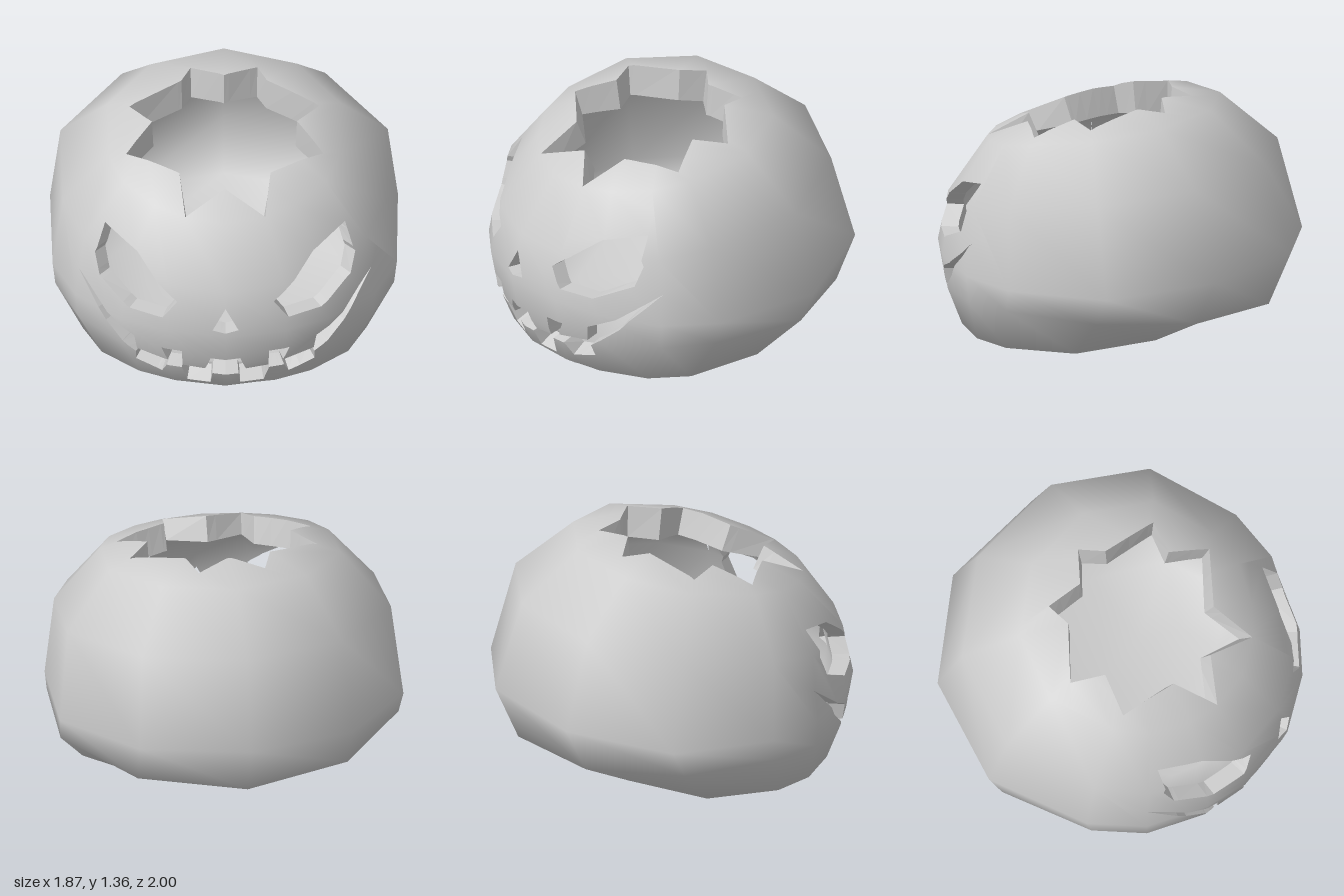
import * as THREE from 'three';
import { mergeVertices } from 'three/addons/utils/BufferGeometryUtils.js';

const V2 = (x, y) => new THREE.Vector2(x, y);

// Rings from top to bottom: front z, back z, half width, y at front, side and back
const RINGS = [
  [0, 0, 0, 1.345, 1.345, 1.345],
  [0.42, -0.26, 0.36, 1.24, 1.32, 1.36],
  [0.73, -0.53, 0.63, 1.09, 1.23, 1.32],
  [0.94, -0.85, 0.88, 0.78, 0.94, 1.06],
  [1.0, -1.0, 0.935, 0.53, 0.47, 0.58],
  [0.955, -0.87, 0.92, 0.3, 0.35, 0.28],
  [0.87, -0.55, 0.77, 0.11, 0.1, 0.17],
  [0.73, -0.1, 0.45, 0.0, 0.02, 0.02],
  [0.35, 0.35, 0, 0, 0, 0],
];
// Half outline of a ring, from the front to the back
const HALF = [[0, 1], [0.35, 0.93], [0.6, 0.8], [0.86, 0.55], [0.99, 0.25], [1, -0.33], [0.62, -0.81], [0, -1]];
const OUTLINE = [...HALF, ...HALF.slice(1, -1).reverse().map(([x, z]) => [-x, z])];

// Carved openings
const EYE = [[0.645, 0.96], [0.475, 0.905], [0.365, 0.79], [0.26, 0.7], [0.34, 0.595], [0.515, 0.59], [0.675, 0.69], [0.7, 0.81]];
const NOSE = [[0, 0.69], [-0.07, 0.56], [0, 0.55], [0.07, 0.56]];
const MOUTH_HALF = [
  [0.07, 0.215], [0.08, 0.125], [0.205, 0.13], [0.235, 0.24], [0.315, 0.245], [0.34, 0.17], [0.48, 0.215],
  [0.48, 0.285], [0.55, 0.34], [0.64, 0.43], [0.79, 0.66], [0.63, 0.49], [0.49, 0.41], [0.475, 0.32],
  [0.31, 0.3], [0.345, 0.385], [0.235, 0.38], [0.23, 0.265], [0.11, 0.255], [0.08, 0.35],
];
const LID_HALF = [[0, -0.24], [0.18, -0.34], [0.23, -0.2], [0.51, -0.05], [0.39, 0.1], [0.53, 0.275], [0.245, 0.44], [0.215, 0.685], [0, 0.54]];
const mirror = (pts) => pts.map(([x, y]) => [-x, y]).reverse();

// A cutter is a polygon, split into triangles, pushed through the shell along one axis
function makeCutter(points, project, applies) {
  const pts = points.map(([a, b]) => V2(a, b));
  if (THREE.ShapeUtils.area(pts) < 0) pts.reverse();
  const tris = THREE.ShapeUtils.triangulateShape(pts, []).map((t) => {
    const tri = t.map((i) => pts[i]);
    return THREE.ShapeUtils.area(tri) < 0 ? tri.reverse() : tri;
  });
  return { pts, tris, project, applies };
}

const side = (a, b, p) => ((b.x - a.x) * (p.y - a.y) - (b.y - a.y) * (p.x - a.x)) / a.distanceTo(b);

// Split a convex polygon by the line a-b into its left and right parts
function split(poly, a, b, project) {
  const left = [], right = [];
  poly.forEach((v, i) => {
    const w = poly[(i + 1) % poly.length];
    const dv = side(a, b, project(v.p)), dw = side(a, b, project(w.p));
    if (dv >= -1e-7) left.push(v);
    if (dv <= 1e-7) right.push(v);
    if ((dv > 1e-7 && dw < -1e-7) || (dv < -1e-7 && dw > 1e-7)) {
      const t = dv / (dv - dw);
      const m = { p: v.p.clone().lerp(w.p, t), n: v.n.clone().lerp(w.n, t).normalize() };
      left.push(m);
      right.push(m);
    }
  });
  const solid = (q) => q.length > 2 && Math.abs(THREE.ShapeUtils.area(q.map((v) => project(v.p)))) > 1e-8;
  return [solid(left) ? left : null, solid(right) ? right : null];
}

// Remove a cutter from the polygons; returns what is kept and the rim edges
function carve(polys, cutter, rims) {
  const { pts, tris, project, applies } = cutter;
  const kept = [];
  for (const poly of polys) {
    if (!applies(poly)) { kept.push(poly); continue; }
    let work = [poly];
    for (const tri of tris) {
      const next = [];
      for (const piece of work) {
        let inside = piece;
        const outside = [];
        for (let k = 0; k < 3 && inside; k++) {
          const [l, r] = split(inside, tri[k], tri[(k + 1) % 3], project);
          if (r) outside.push(r);
          inside = l;
        }
        if (!inside) { next.push(piece); continue; }
        next.push(...outside);
        inside.forEach((v, i) => {
          const w = inside[(i + 1) % inside.length];
          const pv = project(v.p), pw = project(w.p);
          const onRim = pts.some((a, j) => {
            const b = pts[(j + 1) % pts.length], len = a.distanceTo(b);
            const on = (q) => Math.abs(side(a, b, q)) < 1e-5 && q.distanceTo(a) + q.distanceTo(b) < len + 1e-4;
            return on(pv) && on(pw);
          });
          if (onRim && v.p.distanceTo(w.p) > 1e-5) rims.push([v.p, w.p]);
        });
      }
      work = next;
    }
    kept.push(...work);
  }
  return kept;
}

// Point on the hollow's surface that lies behind an outer point
function inward(p) {
  const top = THREE.MathUtils.clamp((p.y - 0.9) / 0.4, 0, 1);
  const low = THREE.MathUtils.clamp((0.3 - p.y) / 0.3, 0, 1);
  return new THREE.Vector3(p.x * (0.92 + 0.06 * top), p.y - 0.18 * top + 0.1 * low, p.z * 0.9 - 0.01 * top);
}

function buildGeometry(polys, withNormals) {
  const pos = [], nor = [];
  for (const poly of polys) {
    for (let i = 1; i < poly.length - 1; i++) {
      for (const v of [poly[0], poly[i], poly[i + 1]]) {
        pos.push(v.p.x, v.p.y, v.p.z);
        if (withNormals) nor.push(v.n.x, v.n.y, v.n.z);
      }
    }
  }
  const g = new THREE.BufferGeometry();
  g.setAttribute('position', new THREE.Float32BufferAttribute(pos, 3));
  if (withNormals) g.setAttribute('normal', new THREE.Float32BufferAttribute(nor, 3));
  else g.computeVertexNormals();
  return g;
}

// Uncut body as a list of triangles with smooth normals
function bodyTriangles() {
  const pos = [], index = [], n = OUTLINE.length;
  for (const [zf, zb, w, yf, ys, yb] of RINGS) {
    for (const [x, c] of OUTLINE) {
      const y = ys + ((yf - yb) / 2) * c + ((yf + yb) / 2 - ys) * c * c;
      pos.push(x * w, y, (zf + zb) / 2 + ((zf - zb) / 2) * c);
    }
  }
  for (let i = 0; i < RINGS.length - 1; i++) {
    for (let j = 0; j < n; j++) {
      const a = i * n + j, d = i * n + ((j + 1) % n), b = a + n, c = d + n;
      if (i < RINGS.length - 2) index.push(a, b, c);
      if (i > 0) index.push(a, c, d);
    }
  }
  let g = new THREE.BufferGeometry();
  g.setAttribute('position', new THREE.Float32BufferAttribute(pos, 3));
  g.setIndex(index);
  g = mergeVertices(g, 1e-4);
  g.computeVertexNormals();
  const P = g.attributes.position, N = g.attributes.normal, ids = g.index.array, tris = [];
  const vertex = (i) => ({ p: new THREE.Vector3().fromBufferAttribute(P, i), n: new THREE.Vector3().fromBufferAttribute(N, i) });
  for (let i = 0; i < ids.length; i += 3) tris.push([vertex(ids[i]), vertex(ids[i + 1]), vertex(ids[i + 2])]);
  return tris;
}

export function createModel() {
  const group = new THREE.Group();
  group.name = 'carvedPumpkin';
  const grey = new THREE.MeshStandardMaterial({ color: 0xcccccc });
  grey.name = 'plain grey';

  const fromFront = (p) => V2(p.x, p.y), fromTop = (p) => V2(p.x, -p.z);
  const mean = (poly, k) => poly.reduce((s, v) => s + v.p[k], 0) / poly.length;
  const onFront = (poly) => mean(poly, 'z') > 0.15, onTop = (poly) => mean(poly, 'y') > 0.9;
  const lid = [...LID_HALF, ...mirror(LID_HALF.slice(1, -1))].map(([x, z]) => [x, -z]);
  const cutters = [
    ...[EYE, mirror(EYE), NOSE, [...MOUTH_HALF, ...mirror(MOUTH_HALF)]].map((s) => makeCutter(s, fromFront, onFront)),
    makeCutter(lid, fromTop, onTop),
  ];

  const rims = [];
  let skin = bodyTriangles();
  for (const cutter of cutters) skin = carve(skin, cutter, rims);

  // Hollow inside and the walls joining it to the skin
  const hollow = skin.map((poly) => poly.map((v) => ({ p: inward(v.p), n: v.n.clone().negate() })).reverse());
  const walls = rims.map(([a, b]) => [a, b, inward(b), inward(a)].map((p) => ({ p })));

  const add = (name, geometry) => {
    const mesh = new THREE.Mesh(geometry, grey);
    mesh.name = name;
    group.add(mesh);
  };
  add('outerSkin', buildGeometry(skin, true));
  add('innerSkin', buildGeometry(hollow, true));
  add('carvedEdges', buildGeometry(walls, false));
  return group;
}
